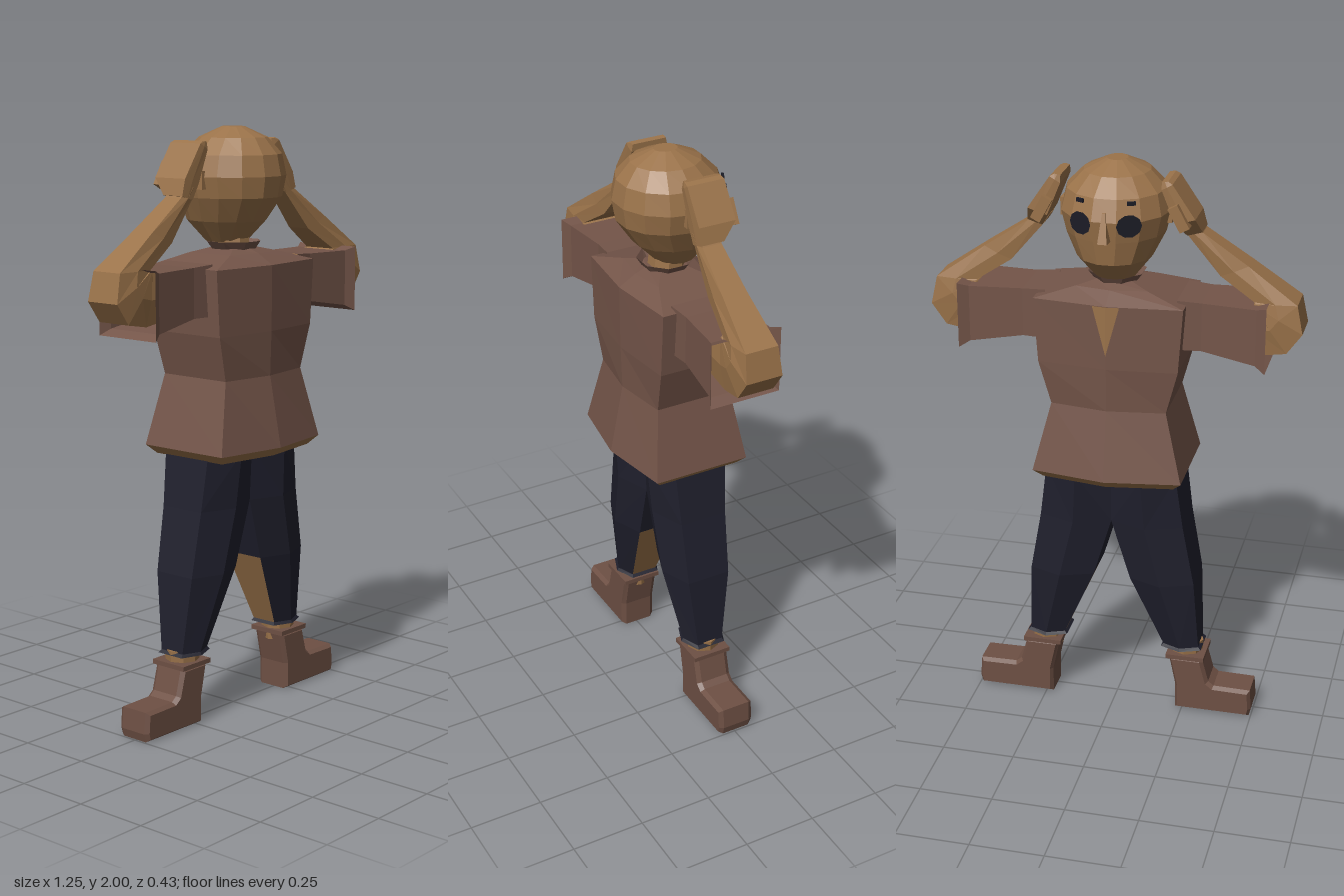
import * as THREE from 'three';

const mat = (name, color, side = THREE.FrontSide) => {
  const m = new THREE.MeshStandardMaterial({ color, side, flatShading: true });
  m.name = name;
  return m;
};

// Skin a list of equal-length rings; pick(i, j) chooses a material index per quad.
function loft(name, rings, mats, { caps = true, pick = () => 0 } = {}) {
  const tris = [];
  const n = rings[0].length;
  for (let i = 0; i < rings.length - 1; i++) {
    for (let j = 0; j < n; j++) {
      const k = (j + 1) % n, m = pick(i, j);
      const a = rings[i][j], b = rings[i][k], c = rings[i + 1][k], d = rings[i + 1][j];
      tris.push([a, b, c, m], [a, c, d, m]);
    }
  }
  if (caps) {
    const s = rings[0], e = rings[rings.length - 1];
    for (let j = 1; j < n - 1; j++) {
      tris.push([s[0], s[j + 1], s[j], 0], [e[0], e[j], e[j + 1], 0]);
    }
  }
  // Turn the whole skin outward, measured about its centre
  const mid = new THREE.Vector3();
  rings.flat().forEach(p => mid.addScaledVector(p, 1 / (rings.length * n)));
  let volume = 0;
  for (const [a, b, c] of tris) {
    const p = a.clone().sub(mid), q = b.clone().sub(mid), r = c.clone().sub(mid);
    volume += p.dot(q.cross(r));
  }
  const pos = [];
  const g = new THREE.BufferGeometry();
  tris.forEach(([a, b, c, m], i) => {
    for (const p of volume < 0 ? [a, c, b] : [a, b, c]) pos.push(p.x, p.y, p.z);
    if (Array.isArray(mats)) g.addGroup(i * 3, 3, m);
  });
  g.setAttribute('position', new THREE.Float32BufferAttribute(pos, 3));
  g.computeVertexNormals();
  const mesh = new THREE.Mesh(g, mats);
  mesh.name = name;
  return mesh;
}

const v = (x, y, z) => new THREE.Vector3(x, y, z);

// Horizontal oval ring with a flat facing the face side
const oval = (n, y, rx, cz, rz) => Array.from({ length: n }, (_, i) => {
  const a = (i + 0.5) / n * Math.PI * 2;
  return v(rx * Math.sin(a), y, cz - rz * Math.cos(a));
});

// Limb ring spanning two points in the xy plane, with bevelled depth
const limbRing = (s, [ax, ay, bx, by, z0, z1], k = 0.65) => {
  const c = (z0 + z1) / 2, h = (z1 - z0) / 2, mx = (ax + bx) / 2, my = (ay + by) / 2;
  return [
    v(s * ax, ay, c - h * k), v(s * ax, ay, c + h * k), v(s * mx, my, z1),
    v(s * bx, by, c + h * k), v(s * bx, by, c - h * k), v(s * mx, my, z0),
  ];
};

export function createModel() {
  const skin = mat('skin', 0x9b734a);
  const cloth = mat('tunic brown', 0x745549, THREE.DoubleSide);
  const navy = mat('trouser navy', 0x20202d);
  const leather = mat('boot leather', 0x6e5044);
  const dark = mat('eye dark', 0x1b1c26, THREE.DoubleSide);
  const group = new THREE.Group();
  group.name = 'figure';

  const add = (name, geometry, material, x, y, z) => {
    const m = new THREE.Mesh(geometry, material);
    m.name = name;
    m.position.set(x, y, z);
    group.add(m);
    return m;
  };

  // Head, neck and nose
  group.add(loft('head', [
    [1.62, 0.07, -0.03, 0.07], [1.69, 0.125, -0.03, 0.14], [1.77, 0.165, -0.01, 0.175],
    [1.84, 0.182, -0.01, 0.187], [1.91, 0.165, -0.005, 0.168], [1.965, 0.11, 0, 0.118],
    [2.0, 0.035, 0, 0.04],
  ].map(r => oval(14, ...r)), skin));
  group.add(loft('neck', [oval(8, 1.54, 0.065, 0, 0.065), oval(8, 1.66, 0.06, -0.01, 0.06)], skin));
  group.add(loft('nose', [[1.775, 0.022, 0.215], [1.87, 0.008, 0.188]].map(([y, w, z]) => [
    v(-w, y, -0.165), v(w, y, -0.165), v(w * 0.7, y, -z), v(-w * 0.7, y, -z),
  ]), skin));

  // Tunic body: hexagonal sections with a centre ridge front and back
  const hex = (y, w, d, apex) => [
    v(-w, y, -d), v(0, y, -apex), v(w, y, -d), v(w, y, d), v(0, y, apex), v(-w, y, d),
  ];
  group.add(loft('tunic', [
    hex(0.91, 0.225, 0.145, 0.18), hex(0.94, 0.255, 0.17, 0.21), hex(1.18, 0.195, 0.135, 0.163),
    hex(1.33, 0.235, 0.145, 0.168), hex(1.55, 0.25, 0.145, 0.17), hex(1.585, 0.12, 0.09, 0.11),
    hex(1.6, 0.06, 0.05, 0.07),
  ], [cloth, skin], { pick: i => (i === 0 ? 1 : 0) }));
  group.add(loft('collar', [
    oval(8, 1.575, 0.06, 0, 0.065), oval(8, 1.622, 0.098, 0, 0.095),
  ], cloth, { caps: false }));

  // Open neckline, folded over the chest ridge
  const notch = new THREE.BufferGeometry();
  notch.setAttribute('position', new THREE.Float32BufferAttribute([
    0, 1.38, -0.174, -0.045, 1.55, -0.17, 0, 1.55, -0.175,
    0, 1.38, -0.174, 0, 1.55, -0.175, 0.045, 1.55, -0.17,
  ], 3));
  notch.computeVertexNormals();
  add('neckline', notch, skin, 0, 0, 0);

  // Boot side profile
  const bootShape = new THREE.Shape([
    [0.235, 0.015], [0.485, 0.015], [0.49, 0.035], [0.485, 0.098], [0.36, 0.1], [0.335, 0.12],
    [0.312, 0.205], [0.212, 0.205], [0.235, 0.1],
  ].map(p => new THREE.Vector2(...p)));

  for (const s of [1, -1]) {
    const side = s > 0 ? 'left' : 'right';

    // Eye and lash
    const a = Math.PI * 2 / 14;
    const yaw = Math.atan2(s * Math.sin(a), -Math.cos(a));
    const eye = add(side + 'Eye', new THREE.CircleGeometry(0.042, 10), dark,
      s * 0.183 * Math.sin(a), 1.83, -0.01 - 0.187 * Math.cos(a));
    eye.scale.y = 0.9;
    eye.rotation.y = yaw;
    const lash = add(side + 'Lash', new THREE.BoxGeometry(0.028, 0.012, 0.008), dark,
      s * 0.083, 1.9, -0.162);
    lash.rotation.y = yaw;
    add(side + 'Ear', new THREE.BoxGeometry(0.02, 0.06, 0.05), skin, s * 0.175, 1.83, 0);

    // Arm bent up to the head
    group.add(loft(side + 'Arm', [
      [0.24, 1.42, 0.24, 1.54, -0.06, 0.06], [0.49, 1.385, 0.46, 1.555, -0.07, 0.07],
      [0.575, 1.4, 0.465, 1.56, -0.075, 0.075], [0.625, 1.47, 0.47, 1.562, -0.075, 0.075],
      [0.605, 1.565, 0.465, 1.566, -0.068, 0.068], [0.44, 1.68, 0.35, 1.64, -0.05, 0.05],
      [0.29, 1.78, 0.235, 1.775, -0.045, 0.035], [0.255, 1.82, 0.22, 1.8, -0.045, 0.035],
    ].map(r => limbRing(s, r, 0.85)), skin));

    // Flat hand with a thumb
    group.add(loft(side + 'Hand', [
      [0.29, 1.785, 0.24, 1.77, -0.05, 0.035], [0.275, 1.84, 0.21, 1.82, -0.1, 0.035],
      [0.2, 1.95, 0.165, 1.93, -0.1, 0.035], [0.185, 1.958, 0.165, 1.955, -0.095, 0.03],
    ].map(r => limbRing(s, r, 0.97)), skin));
    const thumb = add(side + 'Thumb', new THREE.BoxGeometry(0.035, 0.085, 0.04), skin,
      s * 0.225, 1.845, -0.1);
    thumb.rotation.z = s * 0.5;

    // Sleeve, open at a flared cuff
    group.add(loft(side + 'Sleeve', [
      [0.22, 1.565, 1.395, 0.1], [0.3, 1.56, 1.395, 0.092],
      [0.48, 1.558, 1.365, 0.106], [0.515, 1.57, 1.345, 0.124],
    ].map(([x, top, low, d]) => [
      v(s * x, top, -d), v(s * x, top, d), v(s * x, low, d), v(s * x, low, -d),
    ]), cloth, { caps: false }));

    // Trouser leg, bare along the lower inside
    group.add(loft(side + 'TrouserLeg', [
      [0.93, 0, 0.225, 0.145], [0.74, 0, 0.25, 0.13], [0.52, 0.065, 0.29, 0.12],
      [0.255, 0.18, 0.305, 0.073], [0.245, 0.172, 0.315, 0.08],
    ].map(([y, xi, xo, d]) => limbRing(s, [xi, y, xo, y, -d - 0.01, d - 0.01])),
    [navy, skin], { pick: (i, j) => (i === 2 && j === 0 ? 1 : 0) }));

    // Ankle
    add(side + 'Ankle', new THREE.CylinderGeometry(0.06, 0.055, 0.08, 8), skin, s * 0.255, 0.22, -0.008);

    // Boot pointing outward, with a rim
    const boot = new THREE.ExtrudeGeometry(bootShape, {
      depth: 0.1, bevelEnabled: true, bevelThickness: 0.015, bevelSize: 0.01, bevelSegments: 1,
    });
    boot.translate(0, -0.005, -0.05);
    if (s < 0) boot.rotateY(Math.PI);
    add(side + 'Boot', boot, leather, 0, 0, -0.007);
    add(side + 'BootRim', new THREE.BoxGeometry(0.136, 0.016, 0.14), leather, s * 0.26, 0.214, -0.007);
  }
  return group;
}
